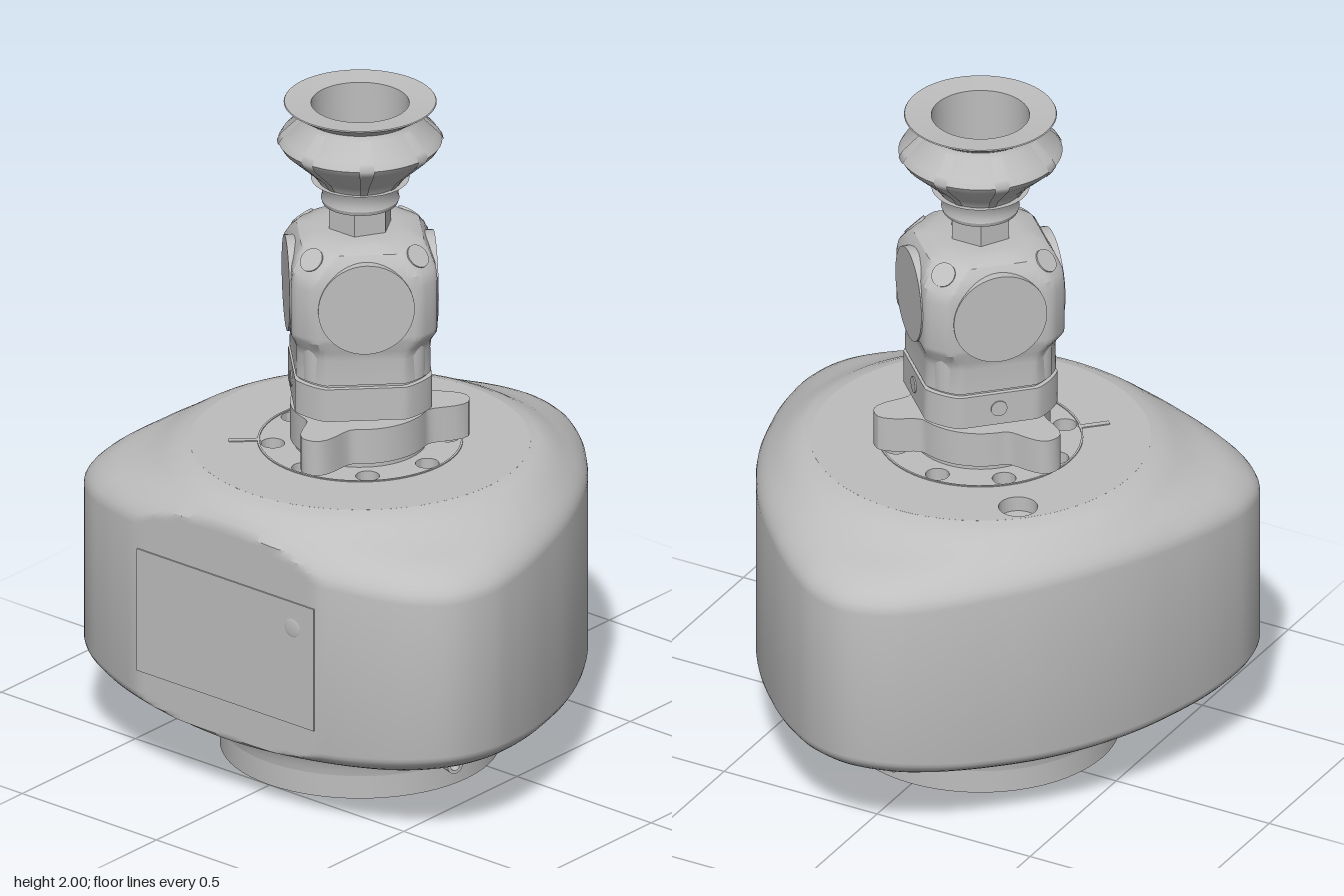
import * as THREE from 'three';
import { toCreasedNormals } from 'three/addons/utils/BufferGeometryUtils.js';

const AXIS_Z = 0.1; // all round parts share this vertical axis
const V2 = (p) => new THREE.Vector2(p[0], p[1]);

// Piecewise-linear lookup in a list of [x, y] points
function lookup(pts, x) {
  for (let i = 1; i < pts.length; i++) {
    const [x0, y0] = pts[i - 1], [x1, y1] = pts[i];
    if (x <= x1) return y0 + (y1 - y0) * Math.max(0, (x - x0) / (x1 - x0));
  }
  return pts[pts.length - 1][1];
}

// Skin over closed rings listed from bottom to top
function loft(rings, crease) {
  const n = rings[0].length, pos = [], idx = [];
  rings.forEach((ring) => ring.forEach((p) => pos.push(p.x, p.y, p.z)));
  for (let i = 0; i < rings.length - 1; i++) for (let j = 0; j < n; j++) {
    const k = (j + 1) % n, a = i * n + j, b = i * n + k;
    idx.push(a, b, b + n, a, b + n, a + n);
  }
  const g = new THREE.BufferGeometry();
  g.setAttribute('position', new THREE.Float32BufferAttribute(pos, 3));
  g.setIndex(idx);
  return toCreasedNormals(g, crease);
}

const lathe = (pts) => toCreasedNormals(new THREE.LatheGeometry(pts.map(V2), 64), 0.5);

// Flat shape (x, -z) raised from y0 to y1
function slab(shape, y0, y1) {
  const g = new THREE.ExtrudeGeometry(shape, { depth: y1 - y0, bevelEnabled: false, curveSegments: 32 });
  g.rotateX(-Math.PI / 2).translate(0, y0, 0);
  return toCreasedNormals(g, 0.5);
}

function discShape(radius, holes) {
  const s = new THREE.Shape().absarc(0, 0, radius, 0, Math.PI * 2);
  holes.forEach(([x, z, r]) => s.holes.push(new THREE.Path().absarc(x, -z, r, 0, Math.PI * 2, true)));
  return s;
}

const circleOfHoles = (count, dist, r, start = 0) => Array.from({ length: count }, (_, i) => {
  const a = start + (i / count) * Math.PI * 2;
  return [Math.sin(a) * dist, Math.cos(a) * dist, r];
});

// Three-cornered outline: radius by degrees from the nearest corner
function housingOutline() {
  const side = [[0, 0.797], [9.5, 0.774], [17, 0.738], [24, 0.707], [31, 0.681], [45, 0.651], [60, 0.64]];
  const pts = [];
  for (let c = 0; c < 3; c++) {
    const corner = 60 + c * 120;
    const polar = side.slice(1).reverse().map(([d, r]) => [corner - d, r]).concat(side.slice(0, -1).map(([d, r]) => [corner + d, r]));
    for (const [deg, r] of polar) {
      const a = THREE.MathUtils.degToRad(deg);
      pts.push(new THREE.Vector3(Math.sin(a) * r, 0, Math.cos(a) * r));
    }
  }
  return new THREE.CatmullRomCurve3(pts, true).getSpacedPoints(180).slice(0, 180);
}

// Housing skin: top and bottom are heights that fall off with radius, cut flat at the front
function housingGeometry() {
  const outline = housingOutline();
  const top = [[0.485, 0.94], [0.52, 0.931], [0.55, 0.917], [0.595, 0.89], [0.66, 0.865], [0.74, 0.845], [0.8, 0.835]];
  const bottom = [[0.4, 0.07], [0.405, 0.1], [0.42, 0.135], [0.45, 0.162], [0.5, 0.182], [0.6, 0.198], [0.7, 0.212], [0.8, 0.235]];
  // edge is the fraction of the fillet width, measured inwards from the outline
  const edge = [0, 0.02, 0.07, 0.15, 0.27, 0.42, 0.6, 0.8, 1];
  const ring = (inner, e, t, profile, drop) => outline.map((p) => {
    const R = Math.hypot(p.x, p.z), w = Math.min(0.13, R - 0.5);
    const r = e === null ? inner + (R - w - inner) * t : R - w * e;
    const y = lookup(profile, r) + (e === null ? 0 : drop * (1 - Math.sqrt(1 - (1 - e) ** 2)));
    return new THREE.Vector3(p.x / R * r, y, Math.min(p.z / R * r, 0.692 - AXIS_Z));
  });
  const rings = [];
  for (const t of [0, 0.02, 0.06, 0.12, 0.2, 0.32, 0.5, 0.75]) rings.push(ring(0.4, null, t, bottom, 0));
  for (const e of [...edge].reverse()) rings.push(ring(0, e, 0, bottom, 0.055));
  for (const e of edge) rings.push(ring(0, e, 0, top, -0.075));
  for (const t of [0.8, 0.6, 0.4, 0.2, 0]) rings.push(ring(0.485, null, t, top, 0));
  return loft(rings, 0.6);
}

// Round sections with four flats on the diagonals; rows are [y, radius, flat distance / radius]
function flattedGeometry(rows) {
  return loft(rows.map(([y, r, ratio]) => Array.from({ length: 96 }, (_, j) => {
    const a = (j / 96) * Math.PI * 2;
    const q = Math.min(r, ratio * r / Math.cos((a % (Math.PI / 2)) - Math.PI / 4));
    return new THREE.Vector3(Math.sin(a) * q, y, Math.cos(a) * q);
  })), 0.5);
}

// Clamp plate with three lobes
function clampShape() {
  const lobes = [0.76, 2.83, 4.93]; // counter-clockwise from the left side
  const pts = Array.from({ length: 120 }, (_, i) => {
    const a = (i / 120) * Math.PI * 2;
    let r = 0.2;
    lobes.forEach((l) => {
      const d = Math.atan2(Math.sin(a - l), Math.cos(a - l));
      r += 0.112 * Math.exp(-(Math.abs(d / 0.24) ** 3));
    });
    return new THREE.Vector2(Math.cos(a) * r, Math.sin(a) * r);
  });
  return new THREE.Shape(pts);
}

export function createModel() {
  const model = new THREE.Group();
  const metal = new THREE.MeshStandardMaterial({ color: 0xbebebe });
  const tool = new THREE.Group();
  tool.name = 'tool';
  tool.position.z = AXIS_Z;
  model.add(tool);
  const add = (name, geometry, parent = tool) => {
    const m = new THREE.Mesh(geometry, metal);
    m.name = name;
    parent.add(m);
    return m;
  };
  // Puts an upright part at an angle around the axis, tipped outwards
  const place = (mesh, angle, dist, y, tip) => {
    mesh.position.set(Math.sin(angle) * dist, y, Math.cos(angle) * dist);
    mesh.rotation.set(tip, angle, 0, 'YXZ');
  };

  // Housing and its drilled top
  add('housing', housingGeometry());
  const topHoles = [...circleOfHoles(8, 0.25, 0.034), [-0.292, -0.3, 0.056]];
  add('housingTop', slab(discShape(0.486, topHoles), 0.89, 0.94));
  add('housingTopFloor', new THREE.CylinderGeometry(0.475, 0.475, 0.01, 48).translate(0, 0.89, 0));
  add('topRing', slab(discShape(0.293, [[0, 0, 0.287]]), 0.939, 0.943));
  const mark = add('topMark', new THREE.BoxGeometry(0.09, 0.006, 0.018));
  mark.position.set(-0.25, 0.94, 0.215);
  mark.rotation.y = Math.PI / 4;

  // Front cover
  add('frontCover', new THREE.BoxGeometry(0.66, 0.38, 0.009), model).position.set(0, 0.52, 0.692);
  const button = add('coverButton', new THREE.SphereGeometry(0.03, 24, 12), model);
  button.position.set(0.25, 0.63, 0.695);
  button.scale.z = 0.15;

  // Mounting base with recessed, drilled underside
  add('baseRing', lathe([[0.345, 0.07], [0.345, 0], [0.4, 0], [0.4, 0.075]]));
  add('baseFloor', slab(discShape(0.346, [...circleOfHoles(8, 0.26, 0.028, 0.2), [0, 0, 0.14]]), 0.055, 0.1));
  add('baseHoleFloor', new THREE.CylinderGeometry(0.34, 0.34, 0.01, 48).translate(0, 0.135, 0));
  add('baseBoss', lathe([[0.135, 0.13], [0.135, 0.02], [0.165, 0.02], [0.165, 0.06]]));

  // Three hose nozzles around the base
  for (const a of [Math.PI, 1.255, -1.255]) {
    const nozzle = add('nozzle', lathe([[0, 0.38], [0.025, 0.38], [0.025, 0.515], [0.015, 0.515], [0.015, 0.46], [0, 0.46]]));
    place(nozzle, a, 0, 0.12, Math.PI / 2);
  }

  // Clamp plate and collar
  add('clampFoot', new THREE.CylinderGeometry(0.19, 0.19, 0.03, 48).translate(0, 0.945, 0));
  add('clampPlate', slab(clampShape(), 0.955, 1.062));
  add('neck', new THREE.CylinderGeometry(0.13, 0.13, 0.04, 48).translate(0, 1.075, 0));
  add('collar', flattedGeometry([[1.088, 0.001, 0.86], [1.088, 0.228, 0.86], [1.188, 0.228, 0.86], [1.19, 0.216, 0.86], [1.198, 0.216, 0.86]]));
  for (let i = 1; i < 4; i++) {
    const screw = add('collarScrew', new THREE.CylinderGeometry(0.024, 0.024, 0.012, 20));
    place(screw, Math.PI / 4 + i * Math.PI / 2, 0.194, 1.14, Math.PI / 2);
  }

  // Head with round side covers, top ports and lower ribs
  add('head', flattedGeometry([[1.196, 0.216, 0.86], [1.198, 0.224, 0.86], [1.275, 0.222, 0.86], [1.3, 0.228, 0.85], [1.335, 0.255, 0.815],
    [1.35, 0.258, 0.81], [1.5, 0.258, 0.81], [1.535, 0.25, 0.82], [1.57, 0.222, 0.86], [1.595, 0.195, 0.9], [1.61, 0.15, 0.95],
    [1.615, 0.11, 1], [1.615, 0.001, 1]]));
  for (let i = 0; i < 4; i++) {
    const corner = i * Math.PI / 2;
    place(add('sideCover', new THREE.CylinderGeometry(0.138, 0.138, 0.03, 48)), corner + Math.PI / 4, 0.198, 1.44, Math.PI / 2);
    place(add('topPort', new THREE.CylinderGeometry(0.036, 0.036, 0.008, 24)), corner, 0.214, 1.575, 0.82);
    place(add('headRib', new THREE.CylinderGeometry(0.05, 0.05, 0.13, 20)), corner, 0.178, 1.265, 0);
  }

  // Hexagonal stem and bellows suction cup
  const stem = new THREE.CylinderGeometry(0.094, 0.094, 0.09, 6).rotateY(Math.PI / 6);
  add('stem', toCreasedNormals(stem, 0.5).translate(0, 1.65, 0));
  const bellows = [[0.115, 1.75], [0.14, 1.785], [0.222, 1.86], [0.234, 1.88], [0.222, 1.9], [0.17, 1.95]];
  add('suctionCup', lathe([[0.05, 1.688], [0.108, 1.688], [0.112, 1.7], [0.108, 1.715], ...bellows,
    [0.165, 1.962], [0.218, 1.997], [0.216, 2], [0.14, 1.994], [0.14, 1.76],
    [0.075, 1.75], [0.075, 1.715], [0.035, 1.71], [0.035, 1.7], [0, 1.7]]));
  const ribProfile = bellows.map(([r, y]) => new THREE.Vector2(r + 0.003, y));
  for (let i = 0; i < 8; i++) add('cupRib', new THREE.LatheGeometry(ribProfile, 4, i * Math.PI / 4 - 0.09, 0.18));
  return model;
}
